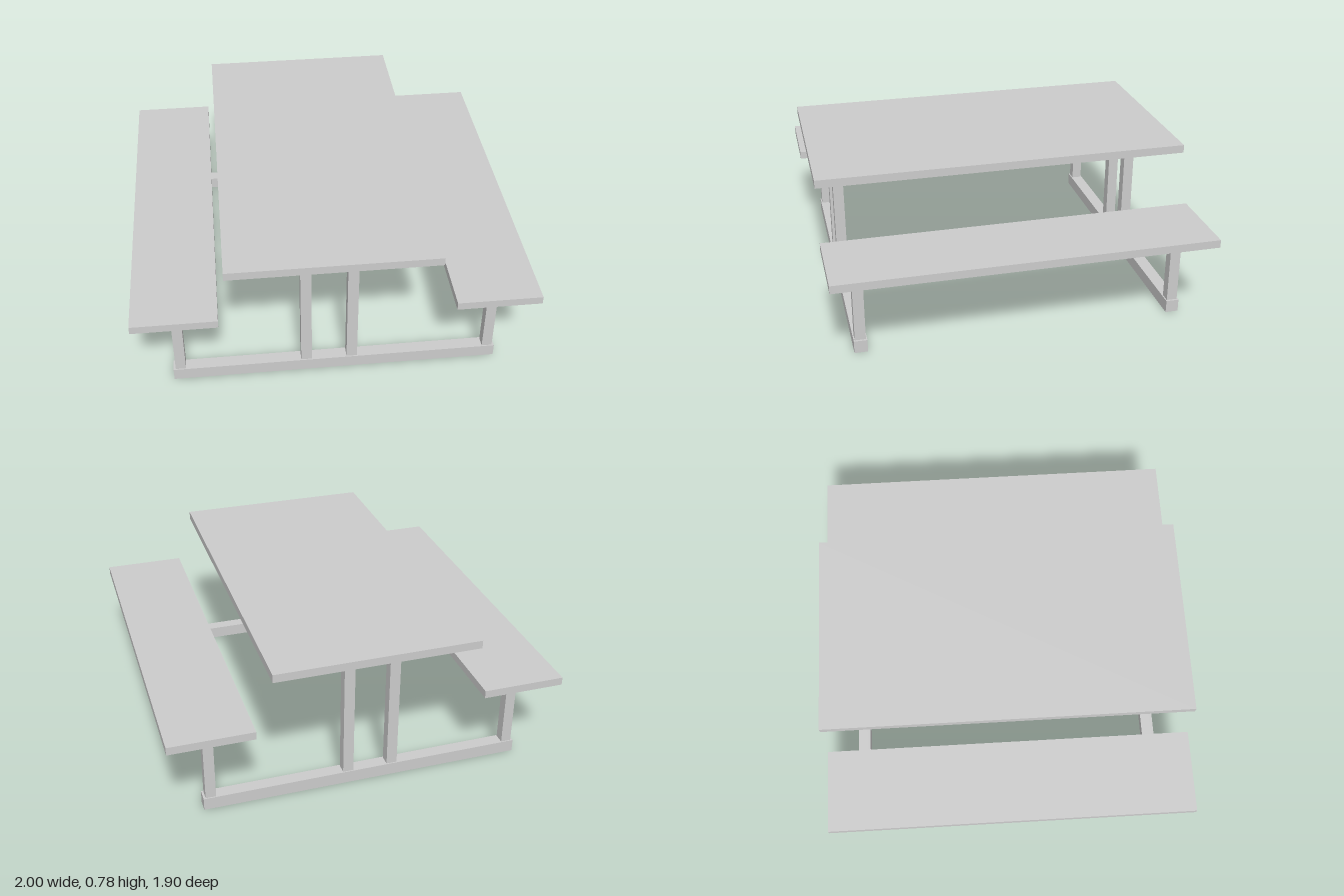
import * as THREE from 'three';

const material = new THREE.MeshStandardMaterial({ color: 0xcccccc, flatShading: true });

// Box given by its lower and upper limits on each axis
function addBox(parent, name, [x0, x1], [y0, y1], [z0, z1]) {
  const mesh = new THREE.Mesh(new THREE.BoxGeometry(x1 - x0, y1 - y0, z1 - z0), material);
  mesh.position.set((x0 + x1) / 2, (y0 + y1) / 2, (z0 + z1) / 2);
  mesh.name = name;
  parent.add(mesh);
}

export function createModel() {
  const model = new THREE.Group();
  model.name = 'picnicTable';
  const length = [-0.95, 0.95];
  const railTop = 0.065, seatBottom = 0.447, tableBottom = 0.741;

  // Table top, set slightly off centre
  addBox(model, 'tableTop', [-0.541, 0.494], [tableBottom, 0.783], length);

  // Benches
  addBox(model, 'rightBench', [-1, -0.58], [seatBottom, 0.488], length);
  addBox(model, 'leftBench', [0.577, 1], [seatBottom, 0.488], length);

  // One ground rail with four posts at each end
  for (const [end, z] of [['front', 0.805], ['back', -0.806]]) {
    const frame = new THREE.Group();
    frame.name = end + 'Frame';
    const depth = [z - 0.027, z + 0.027];
    addBox(frame, 'groundRail', [-0.824, 0.824], [0, railTop], [z - 0.033, z + 0.033]);
    for (const x of [-0.787, 0.787])
      addBox(frame, 'benchPost', [x - 0.026, x + 0.026], [railTop, seatBottom], depth);
    for (const x of [-0.149, 0.083])
      addBox(frame, 'tablePost', [x - 0.027, x + 0.027], [railTop, tableBottom], depth);
    model.add(frame);
  }
  return model;
}
